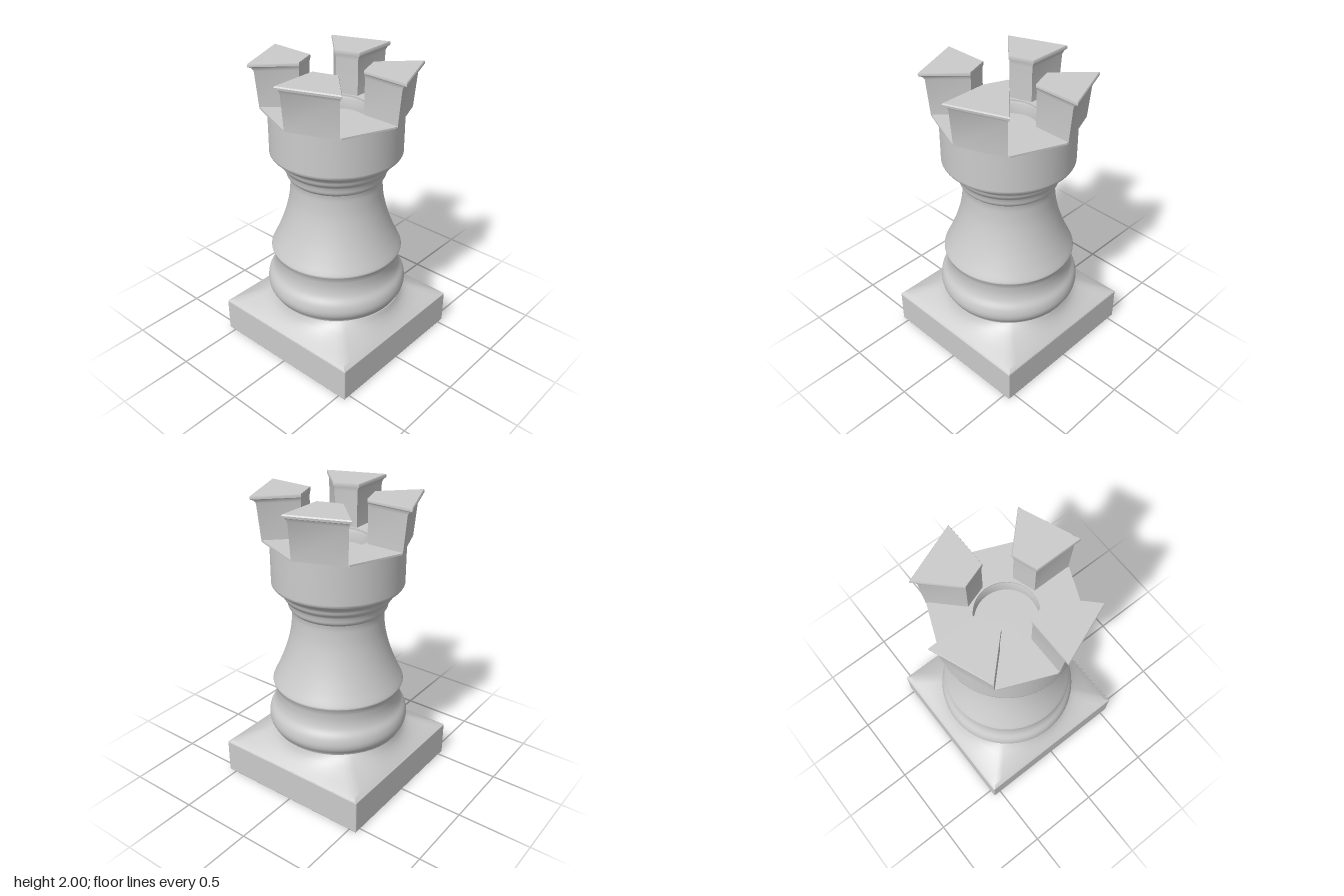
import * as THREE from 'three';
import { toCreasedNormals } from 'three/addons/utils/BufferGeometryUtils.js';
import { RoundedBoxGeometry } from 'three/addons/geometries/RoundedBoxGeometry.js';

const material = new THREE.MeshStandardMaterial({ color: 0xcccccc });

function mesh(name, geometry) {
  const m = new THREE.Mesh(geometry, material);
  m.name = name;
  return m;
}

// Skin a stack of convex sections (each a list of [x, y, z], counterclockwise from above).
function loft(sections, crease) {
  const n = sections[0].length;
  const index = [];
  for (let i = 0; i < sections.length - 1; i++) {
    for (let j = 0; j < n; j++) {
      const k = (j + 1) % n;
      const a = i * n + j, b = i * n + k;
      index.push(a, b, b + n, a, b + n, a + n);
    }
  }
  const top = (sections.length - 1) * n;
  for (let j = 1; j < n - 1; j++) {
    index.push(top, top + j, top + j + 1);
    index.push(0, j + 1, j);
  }
  const g = new THREE.BufferGeometry();
  g.setAttribute('position', new THREE.Float32BufferAttribute(sections.flat(2), 3));
  g.setIndex(index);
  return toCreasedNormals(g, crease);
}

// Square that melts into a circle: w = 1 square, w = 0 round.
function squircle(y, half, w, n = 96) {
  return Array.from({ length: n }, (_, j) => {
    const t = (j / n) * Math.PI * 2;
    const s = Math.sin(t), c = Math.cos(t);
    const r = half * (1 - w + w / Math.max(Math.abs(s), Math.abs(c)));
    return [r * s, y, r * c];
  });
}

// Smooth run of profile points for the turned column.
function run(points, count) {
  return new THREE.SplineCurve(points.map(([r, y]) => new THREE.Vector2(r, y))).getPoints(count);
}

// Wedge section of one merlon: outer corner radius R, walls pulled in by i.
function wedge(y, R, i) {
  const d = i * 0.71;
  return [
    [-i, y, -R],
    [-0.717 * R + d, y, -0.717 * R - d],
    [-0.16 + d, y, -0.16 - d],
    [-i, y, -0.215],
  ];
}

export function createModel() {
  const model = new THREE.Group();
  model.name = 'rook';

  // Square plinth and its sloping top
  const plinth = mesh('plinth', new RoundedBoxGeometry(1.11, 0.24, 1.1, 2, 0.008));
  plinth.position.y = 0.12;
  model.add(plinth);
  model.add(mesh('plinthSlope', loft([
    squircle(0.225, 0.549, 1),
    squircle(0.24, 0.547, 1),
    squircle(0.255, 0.53, 0.95),
    squircle(0.275, 0.505, 0.8),
    squircle(0.30, 0.482, 0.58),
    squircle(0.325, 0.464, 0.33),
    squircle(0.35, 0.452, 0.12),
    squircle(0.375, 0.445, 0),
  ], 0.7)));

  const tower = new THREE.Group();
  tower.name = 'tower';
  tower.position.set(-0.004, 0, -0.002);
  model.add(tower);

  // Turned column: belly and neck, waist, then collar
  const profile = [
    ...run([[0.44, 0.36], [0.447, 0.385], [0.468, 0.42], [0.475, 0.46], [0.465, 0.51],
      [0.437, 0.56], [0.425, 0.61], [0.425, 0.66], [0.43, 0.69], [0.442, 0.72]], 36),
    ...run([[0.442, 0.725], [0.433, 0.745], [0.402, 0.81], [0.365, 0.9], [0.333, 1.0],
      [0.311, 1.1], [0.302, 1.2], [0.305, 1.24]], 28),
    ...run([[0.306, 1.245], [0.324, 1.265], [0.33, 1.295], [0.336, 1.315]], 8),
    ...run([[0.345, 1.325], [0.36, 1.345], [0.368, 1.37], [0.385, 1.39], [0.42, 1.415], [0.43, 1.43]], 14),
    // Drum wall and the round well in its top
    ...[[0.43, 1.44], [0.43, 1.705], [0.2, 1.705], [0.194, 1.69], [0.192, 1.62], [0, 1.62]]
      .map(([r, y]) => new THREE.Vector2(r, y)),
  ];
  tower.add(mesh('column', toCreasedNormals(new THREE.LatheGeometry(profile, 72), 0.6)));

  // Eight-sided floor with a round opening
  const floorShape = new THREE.Shape(Array.from({ length: 8 }, (_, i) => {
    const a = (i * Math.PI) / 4;
    return new THREE.Vector2(0.47 * Math.cos(a), 0.47 * Math.sin(a));
  }));
  floorShape.holes.push(new THREE.Path().absarc(0, 0, 0.197, 0, Math.PI * 2, true));
  const floor = mesh('battlementFloor',
    new THREE.ExtrudeGeometry(floorShape, { depth: 0.012, bevelEnabled: false, curveSegments: 32 }));
  floor.rotation.x = -Math.PI / 2;
  floor.position.y = 1.703;
  tower.add(floor);

  // Four merlons with a flared lip
  const merlonGeometry = loft([
    wedge(1.705, 0.47, 0.01),
    wedge(1.95, 0.492, 0.01),
    wedge(1.97, 0.505, 0.006),
    wedge(1.978, 0.528, 0),
    wedge(1.992, 0.53, 0),
    wedge(2.0, 0.524, 0.003),
  ], 0.5);
  for (let i = 0; i < 4; i++) {
    const merlon = mesh('merlon', merlonGeometry);
    merlon.rotation.y = (i * Math.PI) / 2;
    tower.add(merlon);
  }

  return model;
}
